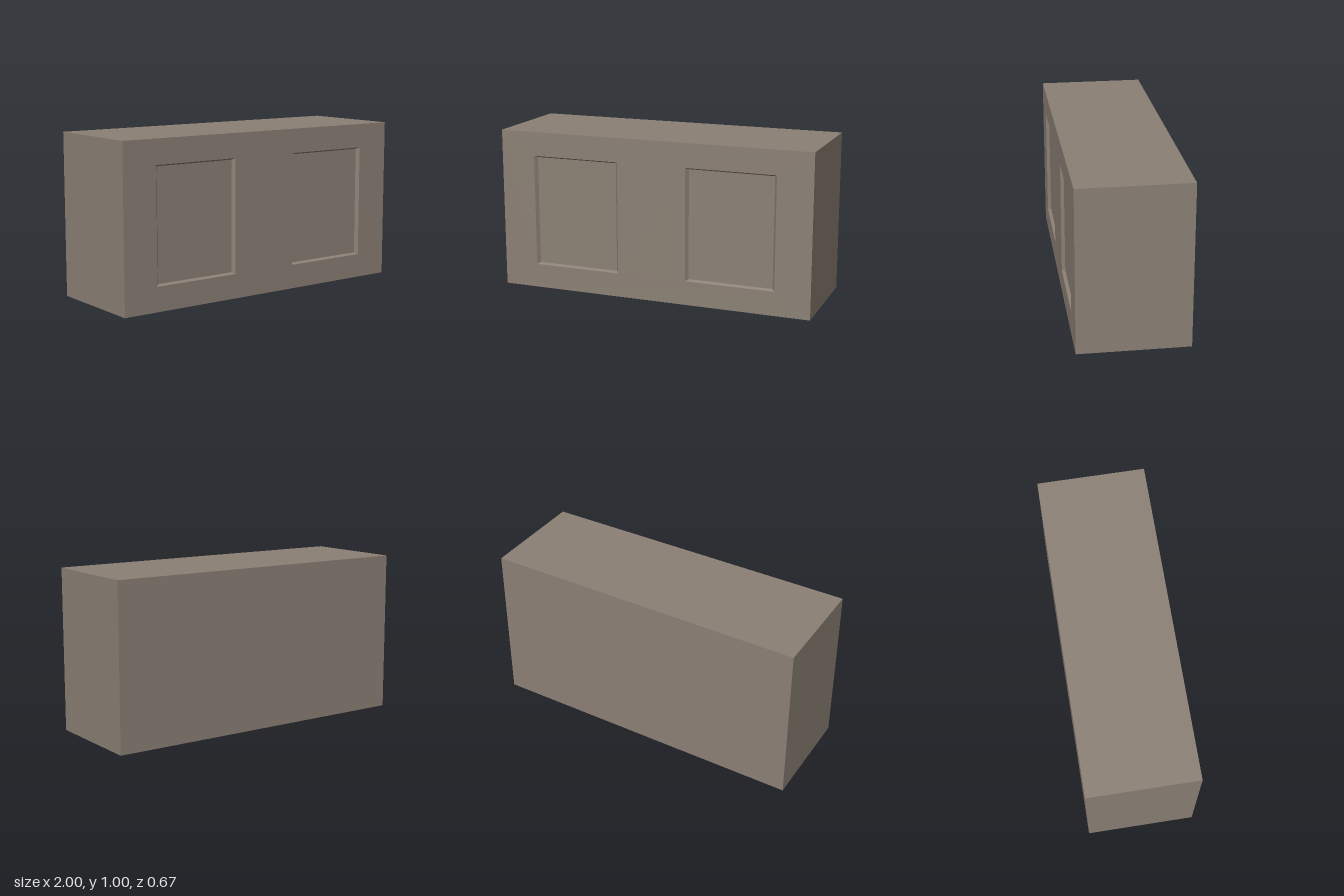
import * as THREE from 'three';

const W = 2, H = 1, D = 0.667;
const PANEL = { w: 0.56, h: 0.70, insetX: 0.016, insetY: 0.01, depth: 0.02 };

// Corners of a rectangle, counter-clockwise as seen from +z
const corners = (x, y, w, h) => [[-1, -1], [1, -1], [1, 1], [-1, 1]]
  .map(([sx, sy]) => new THREE.Vector2(x + sx * w / 2, y + sy * h / 2));

// Shallow tray: four slightly sloping walls and a flat floor, facing +z
function trayGeometry({ w, h, insetX, insetY, depth }) {
  const rim = corners(0, 0, w, h).map(p => [p.x, p.y, 0]);
  const floor = corners(0, 0, w - 2 * insetX, h - 2 * insetY).map(p => [p.x, p.y, -depth]);
  const pos = [];
  const quad = (a, b, c, d) => pos.push(...a, ...b, ...c, ...a, ...c, ...d);
  for (let i = 0; i < 4; i++) {
    const j = (i + 1) % 4;
    quad(rim[i], rim[j], floor[j], floor[i]);
  }
  quad(...floor);
  const geo = new THREE.BufferGeometry();
  geo.setAttribute('position', new THREE.Float32BufferAttribute(pos, 3));
  geo.computeVertexNormals();
  return geo;
}

export function createModel() {
  const group = new THREE.Group();
  group.name = 'panelledBlock';
  const material = new THREE.MeshStandardMaterial({ color: 0x8b8075 });
  const add = (name, geometry, x, y, z) => {
    const mesh = new THREE.Mesh(geometry, material);
    mesh.name = name;
    mesh.position.set(x, y, z);
    group.add(mesh);
  };

  // Block body without its front face
  const body = new THREE.BoxGeometry(W, H, D);
  const index = Array.from(body.index.array);
  index.splice(24, 6);
  body.setIndex(index);
  body.clearGroups();
  add('body', body, 0, H / 2, 0);

  // Front face with two openings
  const face = new THREE.Shape(corners(0, H / 2, W, H));
  for (const x of [-0.5, 0.5]) {
    face.holes.push(new THREE.Path(corners(x, H / 2, PANEL.w, PANEL.h).reverse()));
  }
  add('frontFace', new THREE.ShapeGeometry(face), 0, 0, D / 2);

  // Recessed panels
  const tray = trayGeometry(PANEL);
  add('rightRecess', tray, -0.5, H / 2, D / 2);
  add('leftRecess', tray, 0.5, H / 2, D / 2);

  return group;
}
